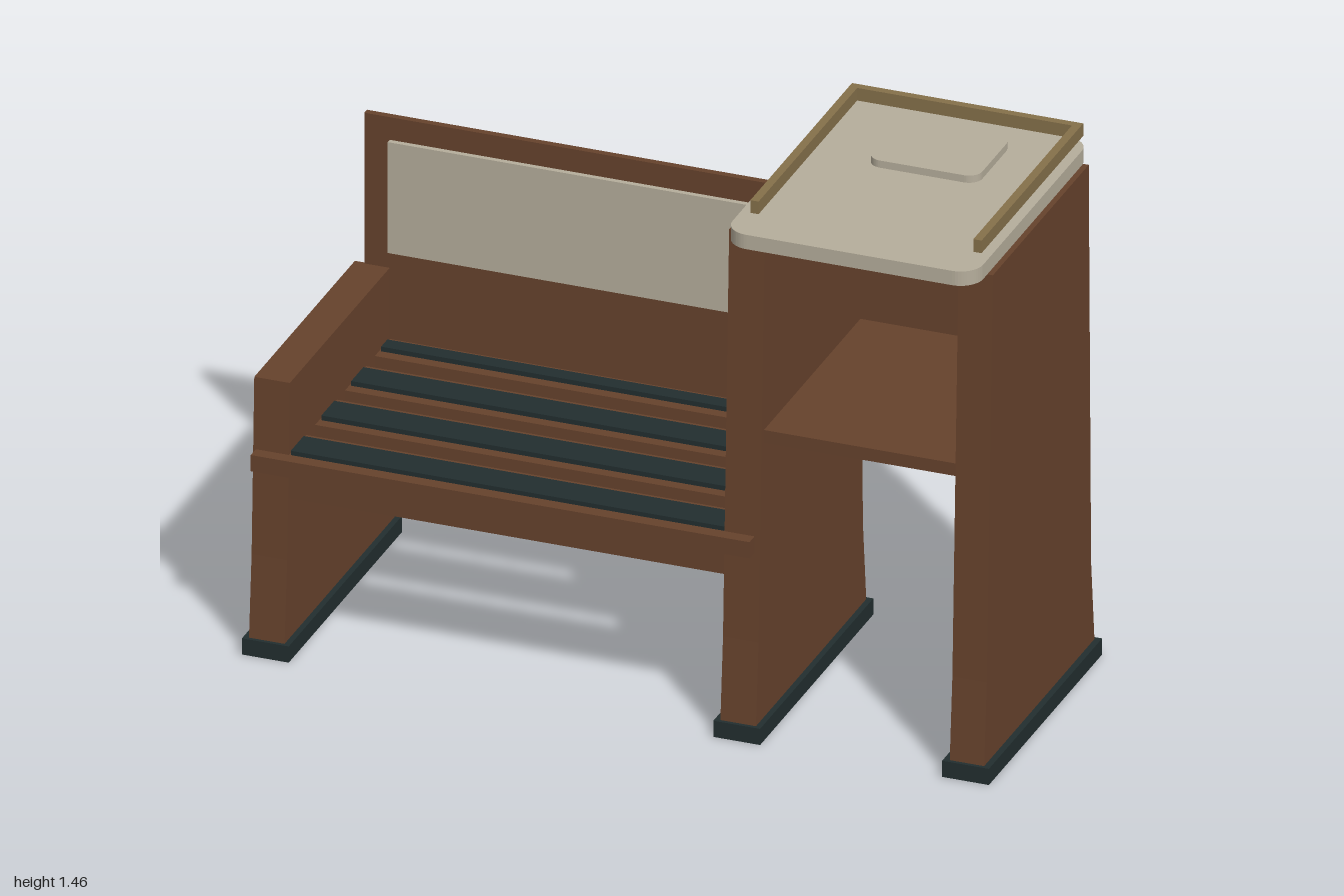
import * as THREE from 'three';

const mat = (name, color) => {
  const m = new THREE.MeshStandardMaterial({ color });
  m.name = name;
  return m;
};

export function createModel() {
  const wood = mat('brown wood', 0x66422c);
  const cream = mat('cream laminate', 0xb5ad9b);
  const dark = mat('dark rubber', 0x222e2f);
  const brass = mat('brass', 0x85704a);
  const model = new THREE.Group();
  model.name = 'benchWithTelephoneStand';

  const add = (name, geometry, material) => {
    const mesh = new THREE.Mesh(geometry, material);
    mesh.name = name;
    model.add(mesh);
    return mesh;
  };
  // Box given by its limits on each axis
  const box = (name, material, [x0, x1], [y0, y1], [z0, z1]) =>
    add(name, new THREE.BoxGeometry(x1 - x0, y1 - y0, z1 - z0), material)
      .position.set((x0 + x1) / 2, (y0 + y1) / 2, (z0 + z1) / 2);
  // Side profile of [z, y] points, extruded along x
  const sideProfile = (name, material, points, x0, x1) => {
    const shape = new THREE.Shape(points.map(([z, y]) => new THREE.Vector2(-z, y)));
    const g = new THREE.ExtrudeGeometry(shape, { depth: x1 - x0, bevelEnabled: false });
    g.rotateY(Math.PI / 2).translate(x0, 0, 0);
    add(name, g, material);
  };
  // Flat slab with rounded corners
  const roundedSlab = (name, material, [x0, x1], [y0, y1], [z0, z1], r) => {
    const s = new THREE.Shape();
    s.absarc(x1 - r, -z0 - r, r, 0, Math.PI / 2);
    s.absarc(x0 + r, -z0 - r, r, Math.PI / 2, Math.PI);
    s.absarc(x0 + r, -z1 + r, r, Math.PI, Math.PI * 1.5);
    s.absarc(x1 - r, -z1 + r, r, Math.PI * 1.5, Math.PI * 2);
    const g = new THREE.ExtrudeGeometry(s, { depth: y1 - y0, bevelEnabled: false, curveSegments: 6 });
    g.rotateX(-Math.PI / 2).translate(0, y0, 0);
    add(name, g, material);
  };

  // Tapered end panels, flared at the bottom, each on a rubber foot
  const ends = [
    ['benchEndPanel', -0.985, -0.89, 0.755],
    ['middlePanel', 0.275, 0.37, 1.385],
    ['standEndPanel', 0.888, 0.98, 1.385],
  ];
  for (const [name, x0, x1, top] of ends) {
    const t = (top - 0.27) / (1.385 - 0.27);
    sideProfile(name, wood, [
      [0.38, 0.045], [0.362, 0.27], [0.362 - 0.042 * t, top],
      [-0.354 + 0.016 * t, top], [-0.354, 0.27], [-0.377, 0.045],
    ], x0, x1);
    const c = (x0 + x1) / 2;
    box(name + 'Foot', dark, [c - 0.0625, c + 0.0625], [0, 0.045], [-0.387, 0.39]);
  }

  // Backrest with a bevelled top rear edge and an inset pad
  sideProfile('backrest', wood, [
    [-0.342, 0.487], [-0.342, 1.175], [-0.36, 1.175], [-0.385, 1.12], [-0.385, 0.487],
  ], -0.958, 0.365);
  box('backrestPad', cream, [-0.89, 0.272], [0.803, 1.112], [-0.345, -0.328]);

  // Seat slats with dark grip strips
  for (const [z0, z1] of [[-0.345, -0.24], [-0.18, -0.035], [0.02, 0.17], [0.23, 0.38]]) {
    box('seatSlat', wood, [-0.89, 0.275], [0.515, 0.557], [z0, z1]);
    box('seatStrip', dark, [-0.885, 0.272], [0.555, 0.57], [Math.max(z0 + 0.032, -0.33), z1 - 0.03]);
  }
  box('seatSlatFront', wood, [-0.978, 0.355], [0.513, 0.558], [0.35, 0.386]);
  box('seatApron', wood, [-0.89, 0.275], [0.435, 0.515], [0.305, 0.345]);

  // Stand: back panel, shelf and table top
  box('standBackPanel', wood, [0.37, 0.888], [0.81, 1.385], [-0.377, -0.337]);
  box('standShelf', wood, [0.37, 0.888], [0.81, 0.845], [-0.34, 0.325]);
  roundedSlab('tableTop', cream, [0.295, 0.965], [1.385, 1.425], [-0.39, 0.408], 0.06);
  roundedSlab('tablePad', cream, [0.495, 0.79], [1.425, 1.445], [-0.295, -0.06], 0.035);

  // Gallery rails around the table top
  box('backRail', brass, [0.32, 0.938], [1.425, 1.46], [-0.408, -0.387]);
  for (const x of [0.32, 0.916]) {
    box('sideRail', brass, [x, x + 0.022], [1.425, 1.46], [-0.387, 0.29]);
  }
  return model;
}
